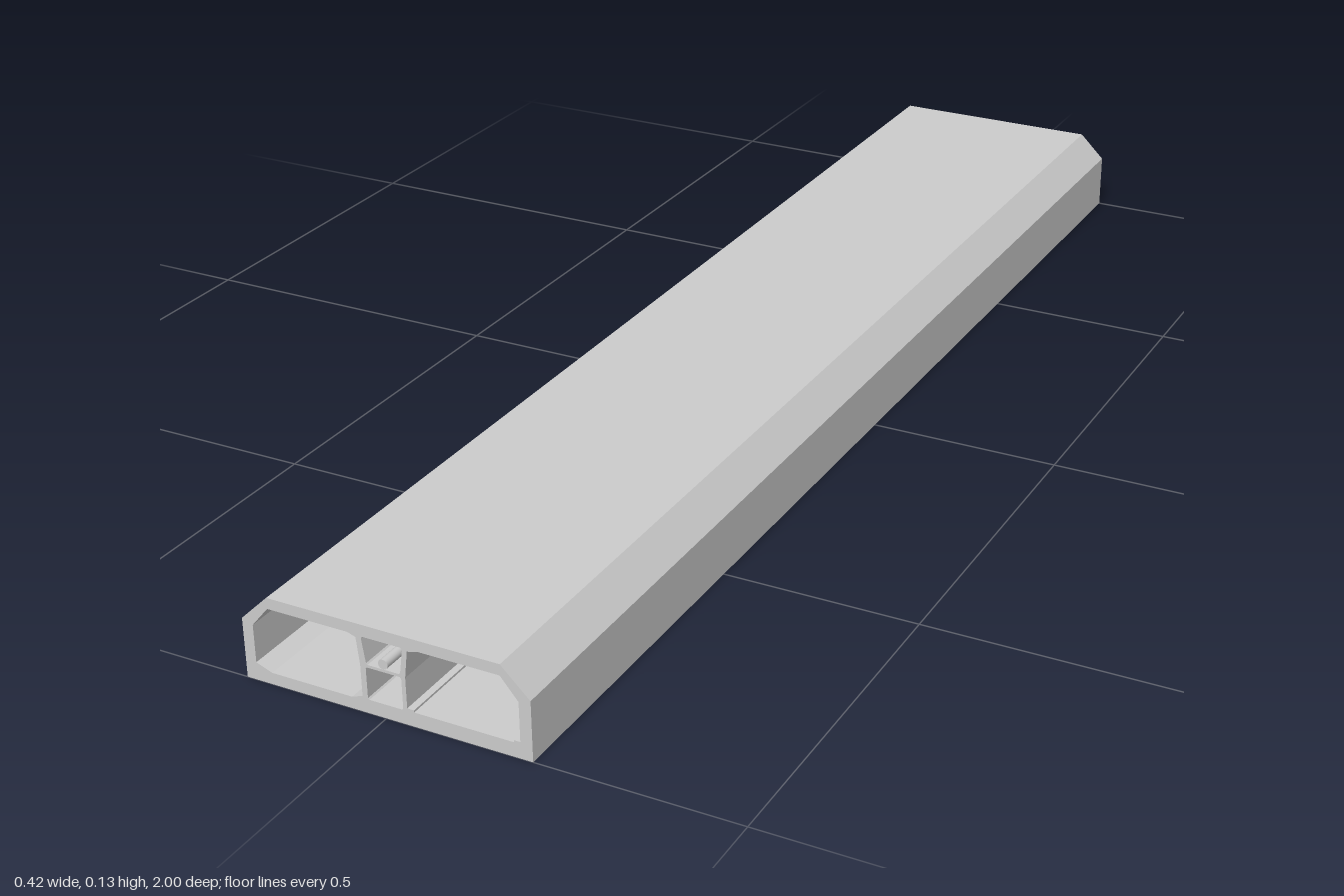
import * as THREE from 'three';

const LENGTH = 2;

export function createModel() {
  const model = new THREE.Group();
  const material = new THREE.MeshStandardMaterial({ color: 0xcccccc });
  const points = (list) => list.map(([x, y]) => new THREE.Vector2(x, y));
  // Complete a profile from its +x half, listed bottom to top
  const mirrored = (half) => [...half, ...half.map(([x, y]) => [-x, y]).reverse()];

  const add = (name, geometry, x = 0, y = 0, z = 0) => {
    const mesh = new THREE.Mesh(geometry, material);
    mesh.name = name;
    mesh.position.set(x, y, z);
    model.add(mesh);
  };

  // Concrete shell: chamfered outline
  const shell = new THREE.Shape(points(mirrored([[0.211, 0], [0.211, 0.087], [0.17, 0.127]])));

  // Bores: one with haunched corners, one with kerbs, and two stacked service galleries
  const haunchedBore = [
    [-0.171, 0.017], [-0.05, 0.017], [-0.034, 0.023], [-0.034, 0.068], [-0.038, 0.107],
    [-0.05, 0.111], [-0.17, 0.111], [-0.195, 0.081], [-0.195, 0.026],
  ];
  const kerbedBore = [
    [0.042, 0.021], [0.185, 0.021], [0.185, 0.024], [0.194, 0.024], [0.194, 0.081],
    [0.169, 0.111], [0.053, 0.111], [0.037, 0.107], [0.032, 0.068], [0.032, 0.024], [0.042, 0.024],
  ];
  const upperGallery = mirrored([[0.023, 0.071], [0.025, 0.073], [0.03, 0.107], [0.028, 0.11]]);
  const lowerGallery = mirrored([[0.024, 0.02], [0.026, 0.022], [0.026, 0.065], [0.024, 0.067]]);
  for (const bore of [haunchedBore, kerbedBore, upperGallery, lowerGallery]) {
    shell.holes.push(new THREE.Path(points(bore)));
  }
  add('tunnelShell', new THREE.ExtrudeGeometry(shell, { depth: LENGTH, bevelEnabled: false }), 0, 0, -LENGTH / 2);

  // Service pipe lying on the gallery floor
  add('servicePipe', new THREE.CylinderGeometry(0.007, 0.007, LENGTH, 24).rotateX(Math.PI / 2), 0, 0.078);

  // Ventilation fans hung under the ceiling of the kerbed bore
  for (const x of [0.078, 0.11, 0.138]) {
    add('ventilationFan', new THREE.CylinderGeometry(0.007, 0.007, 0.05, 24).rotateX(Math.PI / 2), x, 0.104);
  }

  return model;
}
